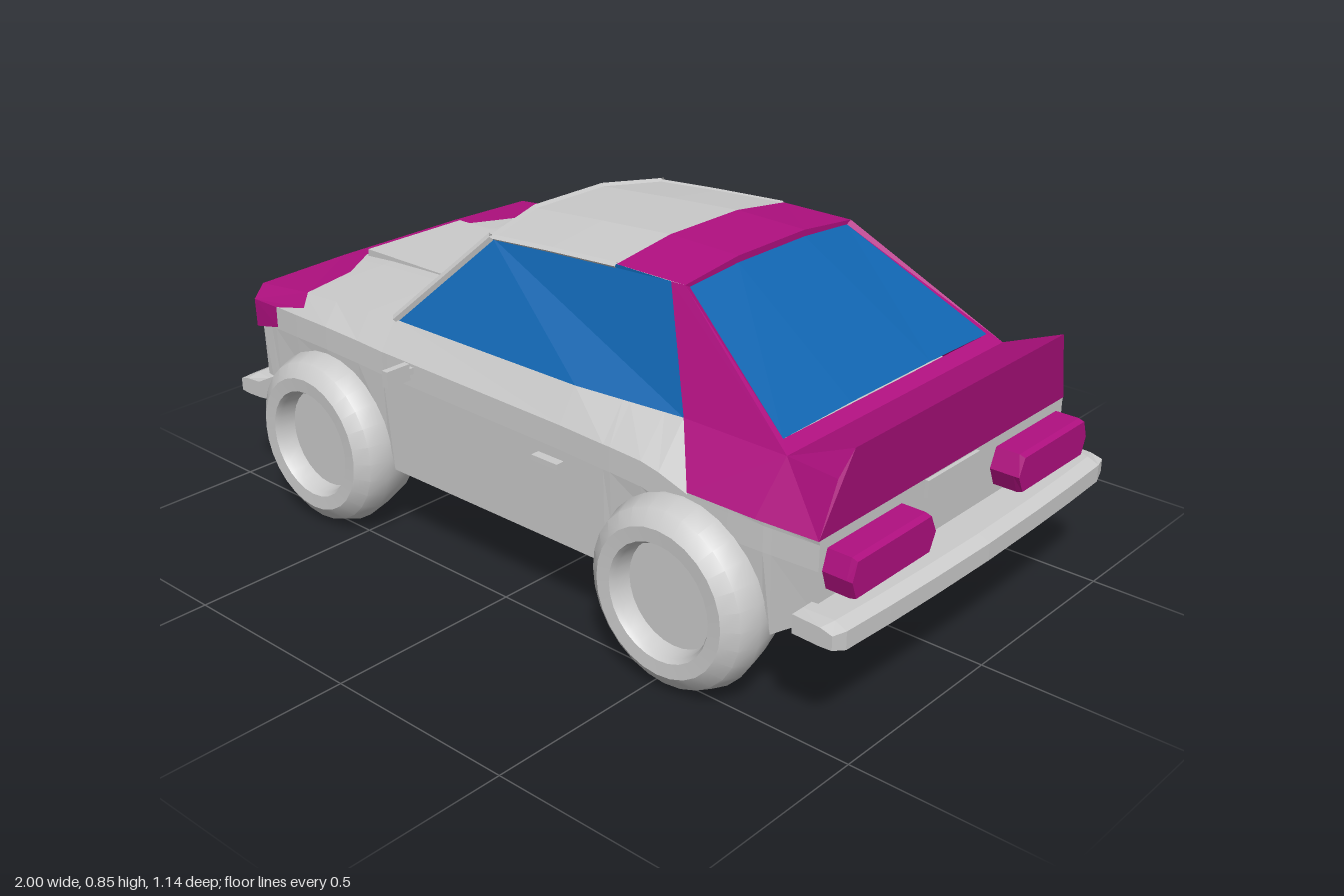
import * as THREE from 'three';
import { toCreasedNormals } from 'three/addons/utils/BufferGeometryUtils.js';

const make = (color) => new THREE.MeshStandardMaterial({ color, flatShading: true, side: THREE.DoubleSide });
const grey = make(0xcccccc), purple = make(0xb01080), blue = make(0x1065b0);
const flip = ([x, y, z]) => [x, y, -z];

export function createModel() {
  const car = new THREE.Group();

  const add = (name, geo, mat = grey, pos = [0, 0, 0]) => {
    const m = new THREE.Mesh(geo, mat);
    m.name = name;
    m.position.set(...pos);
    car.add(m);
    return m;
  };
  const box = (name, w, h, d, pos) => add(name, new THREE.BoxGeometry(w, h, d), grey, pos);

  // Skin over rows of points, each row the same length
  const skin = (rows) => {
    const n = rows[0].length, idx = [];
    for (let i = 0; i < rows.length - 1; i++)
      for (let j = 0; j < n - 1; j++) {
        const a = i * n + j, b = a + n;
        idx.push(a, b, a + 1, b, b + 1, a + 1);
      }
    const g = new THREE.BufferGeometry();
    g.setAttribute('position', new THREE.Float32BufferAttribute(rows.flat(2), 3));
    g.setIndex(idx);
    g.computeVertexNormals();
    return g;
  };
  // Loft closed at both ends
  const solid = (rows) => {
    const mid = (r) => {
      const c = [0, 1, 2].map((k) => r.reduce((s, p) => s + p[k], 0) / r.length);
      return r.map(() => c);
    };
    return skin([mid(rows[0]), ...rows, mid(rows[rows.length - 1])]);
  };
  // Panel of fans, one per list of corners
  const panel = (...polys) => {
    const pos = [];
    for (const p of polys)
      for (let i = 1; i < p.length - 1; i++) pos.push(...p[0], ...p[i], ...p[i + 1]);
    const g = new THREE.BufferGeometry();
    g.setAttribute('position', new THREE.Float32BufferAttribute(pos, 3));
    g.computeVertexNormals();
    return g;
  };
  const bothSides = (name, mat, ...polys) => {
    add('left' + name, panel(...polys), mat);
    add('right' + name, panel(...polys.map((p) => p.map(flip).reverse())), mat);
  };
  const bar = (name, a, b, r = 0.008) => {
    const path = new THREE.LineCurve3(new THREE.Vector3(...a), new THREE.Vector3(...b));
    add(name, new THREE.TubeGeometry(path, 1, r, 4));
  };

  // Lower body: [x, floor, sill or arch height, side z, shoulder y, top y, top z, centre y]
  const stations = [
    [-0.895, 0.3, 0.3, 0.487, 0.52, 0.55, 0.46, 0.56],
    [-0.86, 0.2, 0.2, 0.487, 0.52, 0.56, 0.46, 0.568],
    [-0.84, 0.2, 0.29, 0.488, 0.52, 0.56, 0.46, 0.57],
    [-0.75, 0.2, 0.38, 0.491, 0.52, 0.57, 0.455, 0.577],
    [-0.63, 0.2, 0.41, 0.493, 0.52, 0.575, 0.452, 0.582],
    [-0.51, 0.2, 0.38, 0.491, 0.515, 0.58, 0.447, 0.586],
    [-0.42, 0.2, 0.29, 0.49, 0.51, 0.58, 0.443, 0.59],
    [-0.4, 0.2, 0.2, 0.49, 0.51, 0.58, 0.443, 0.58],
    [0.18, 0.2, 0.2, 0.488, 0.5, 0.58, 0.437, 0.58],
    [0.31, 0.2, 0.2, 0.488, 0.495, 0.58, 0.423, 0.58],
    [0.33, 0.2, 0.29, 0.488, 0.495, 0.58, 0.421, 0.58],
    [0.42, 0.2, 0.38, 0.487, 0.49, 0.58, 0.411, 0.58],
    [0.47, 0.2, 0.4, 0.487, 0.48, 0.58, 0.406, 0.58],
    [0.55, 0.2, 0.41, 0.487, 0.455, 0.46, 0.486, 0.46],
    [0.66, 0.2, 0.38, 0.486, 0.45, 0.46, 0.485, 0.46],
    [0.75, 0.2, 0.29, 0.482, 0.45, 0.46, 0.482, 0.46],
    [0.77, 0.2, 0.2, 0.48, 0.45, 0.46, 0.48, 0.46],
    [0.885, 0.28, 0.28, 0.472, 0.45, 0.46, 0.473, 0.46],
  ];
  add('body', solid(stations.map(([x, b, a, zs, sh, t, zt, c]) => {
    const half = [[x, b, 0], [x, b, 0.38], [x, a, 0.38], [x, a, zs - 0.005],
      [x, Math.max(sh - 0.06, a), zs], [x, sh, zs - 0.001], [x, t, zt], [x, c, 0.2]];
    return [...half, ...half.map(flip).reverse()];
  })));

  // Nose trim wrapping over the front edge and wings
  bothSides('NoseTrim', purple,
    [[-0.91, 0.567, 0], [-0.85, 0.575, 0], [-0.85, 0.575, 0.17], [-0.91, 0.567, 0.2]],
    [[-0.91, 0.567, 0.2], [-0.85, 0.575, 0.17], [-0.76, 0.582, 0.3], [-0.73, 0.578, 0.462], [-0.91, 0.56, 0.467]],
    [[-0.91, 0.525, 0.497], [-0.91, 0.56, 0.467], [-0.73, 0.578, 0.462], [-0.72, 0.545, 0.486], [-0.82, 0.525, 0.497]],
    [[-0.91, 0.525, 0.497], [-0.91, 0.45, 0.495], [-0.82, 0.47, 0.497], [-0.82, 0.525, 0.497]],
    [[-0.91, 0.567, 0], [-0.91, 0.567, 0.2], [-0.91, 0.53, 0.2], [-0.91, 0.53, 0]],
    [[-0.91, 0.567, 0.2], [-0.91, 0.56, 0.467], [-0.91, 0.525, 0.497], [-0.91, 0.53, 0.2]],
    [[-0.91, 0.525, 0.497], [-0.91, 0.45, 0.495], [-0.91, 0.45, 0.43], [-0.91, 0.525, 0.43]]);
  bothSides('Headlight', blue, [[-0.906, 0.525, 0.43], [-0.906, 0.45, 0.43], [-0.906, 0.45, 0.22], [-0.906, 0.53, 0.2]]);
  box('grille', 0.02, 0.07, 0.38, [-0.892, 0.485, 0]);
  box('grilleLedge', 0.03, 0.05, 0.8, [-0.9, 0.355, 0]);
  box('chin', 0.04, 0.06, 0.8, [-0.87, 0.22, 0]);
  box('bonnetScoop', 0.3, 0.03, 0.33, [-0.7, 0.573, 0]);

  // Windscreen, curved across its width, with the right foot set further back
  const low = [[-0.42, 0.58, 0.44], [-0.475, 0.592, 0.2], [-0.475, 0.592, -0.2], [-0.33, 0.58, -0.445]];
  const high = [[-0.22, 0.8, 0.3], [-0.26, 0.82, 0.12], [-0.26, 0.82, -0.12], [-0.22, 0.8, -0.3]];
  add('windscreen', skin([low, high]), blue);
  for (let i = 0; i < 3; i++) {
    bar('windscreenSill', low[i], low[i + 1]);
    bar('windscreenHeader', high[i], high[i + 1]);
  }
  bar('leftFrontPillar', low[0], high[0], 0.013);
  bar('rightFrontPillar', low[3], high[3], 0.013);

  // Roof, grey in front and coloured at the back
  const roofRow = (x, c, e) => [[x, e, 0.3], [x, c, 0.12], [x, c, -0.12], [x, e, -0.3]];
  const roofMid = roofRow(0.18, 0.852, 0.828);
  add('roof', skin([high, roofRow(-0.03, 0.838, 0.815), roofMid]));
  add('rearRoof', skin([roofMid, roofRow(0.38, 0.848, 0.828)]), purple);

  // Side windows with a rail along the roof edge
  const A = [0.34, 0.827, 0.3], C = [0.47, 0.58, 0.406];
  [low[0], low[3]].forEach((foot, i) => {
    const s = i ? -1 : 1;
    const rest = [[0.18, 0.58, 0.437], C, A, [0.18, 0.828, 0.3], [-0.03, 0.815, 0.3], [-0.22, 0.8, 0.3]];
    add(i ? 'rightSideWindow' : 'leftSideWindow',
      panel([[-0.22, 0.8, 0.3 * s], foot, ...rest.slice(0, 5).map(([x, y, z]) => [x, y, z * s])]), blue);
    bar('roofRail', [-0.22, 0.798, 0.298 * s], [-0.03, 0.812, 0.298 * s], 0.008);
    bar('roofRail', [-0.03, 0.812, 0.298 * s], [0.18, 0.824, 0.298 * s], 0.008);
  });

  // Rear quarters, tail and spoiler
  const B = [0.38, 0.828, 0.3], D = [0.55, 0.46, 0.487];
  const E = [0.75, 0.582, 0.41], F = [0.885, 0.46, 0.475], G = [0.91, 0.648, 0.4], K = [0.893, 0.585, 0.43];
  const W = [0.38, 0.82, 0.285], H = [0.72, 0.602, 0.385], S = [0.73, 0.46, 0.485];
  bothSides('RearQuarter', purple, [A, B, E], [A, E, C], [C, E, D], [D, E, S], [S, E, F], [E, K, F], [E, G, K], [G, F, K], [B, W, H, E]);
  add('spoilerTop', panel([E, G, flip(G), flip(E)], [H, E, flip(E), flip(H)]), purple);
  add('tailPanel', panel([G, F, flip(F), flip(G)]), purple);
  add('rearWindowHeader', panel([B, [0.38, 0.848, 0.12], [0.38, 0.832, 0.12], W],
    [[0.38, 0.848, 0.12], [0.38, 0.848, -0.12], [0.38, 0.832, -0.12], [0.38, 0.832, 0.12]],
    [flip(W), [0.38, 0.832, -0.12], [0.38, 0.848, -0.12], flip(B)]), purple);
  add('rearWindow', skin([[W, [0.38, 0.832, 0.12], [0.38, 0.832, -0.12], flip(W)],
    [H, [0.72, 0.606, 0.15], [0.72, 0.606, -0.15], flip(H)]]), blue);

  // Tail lamps: six-sided blocks
  for (const s of [1, -1]) {
    const outline = [[0.165, 0.388], [0.185, 0.435], [0.445, 0.435], [0.46, 0.388], [0.445, 0.342], [0.185, 0.342], [0.165, 0.388]];
    add(s > 0 ? 'leftTailLamp' : 'rightTailLamp',
      solid([0.87, 0.945, 0.96].map((x, i) => outline.map(([z, y]) => [x, i < 2 ? y : y * 0.9 + 0.0388, z * s]))), purple);
  }
  box('rearPlate', 0.012, 0.042, 0.2, [0.888, 0.437, 0]);
  add('rearValance', panel([[0.77, 0.195, 0], [0.77, 0.195, -0.47], [0.89, 0.278, -0.47], [0.89, 0.278, 0]]), purple);

  // Bumpers: a bevelled section swept across, bowed outward
  const bumper = (name, dir, bow) => add(name, solid([-0.535, -0.5, -0.36, -0.2, 0, 0.2, 0.36, 0.5, 0.535].map((z, i) => {
    const o = bow[Math.abs(i - 4)], k = Math.abs(i - 4) === 4 ? 0.02 : 0;
    return [[o, 0.262 + k / 2], [o, 0.305], [o - 0.03, 0.318 - k / 4], [0.87, 0.316], [0.87, 0.252 + k], [o - 0.03, 0.25 + k], [o, 0.262 + k / 2]]
      .map(([x, y]) => [dir * x, y, z]);
  })));
  bumper('frontBumper', -1, [1, 0.985, 0.96, 0.95, 0.945]);
  bumper('rearBumper', 1, [0.995, 0.992, 0.987, 0.98, 0.97]);

  // Wheels: rounded tyre with a recessed rim
  const profile = [[0, 0.39], [0.197, 0.39], [0.213, 0.44], [0.225, 0.5], [0.209, 0.545], [0.175, 0.57],
    [0.14, 0.568], [0.132, 0.555], [0.128, 0.515], [0, 0.515]].map(([r, z]) => new THREE.Vector2(r, z));
  const wheelGeo = toCreasedNormals(new THREE.LatheGeometry(profile, 28).rotateX(Math.PI / 2), 0.6);
  const wheelMat = new THREE.MeshStandardMaterial({ color: 0xcccccc, side: THREE.DoubleSide });
  for (const [end, x] of [['front', -0.63], ['rear', 0.54]])
    for (const s of [1, -1])
      add(end + (s > 0 ? 'Left' : 'Right') + 'Wheel', wheelGeo, wheelMat, [x, 0.225, 0]).rotation.y = s > 0 ? 0 : Math.PI;

  // Mirrors and door handles
  for (const s of [1, -1]) {
    box('mirror', 0.018, 0.042, 0.07, [-0.315, 0.493, 0.535 * s]);
    box('mirrorArm', 0.014, 0.016, 0.06, [-0.313, 0.493, 0.48 * s]);
    box('doorHandle', 0.08, 0.014, 0.025, [0.15, 0.408, 0.498 * s]);
  }
  return car;
}
